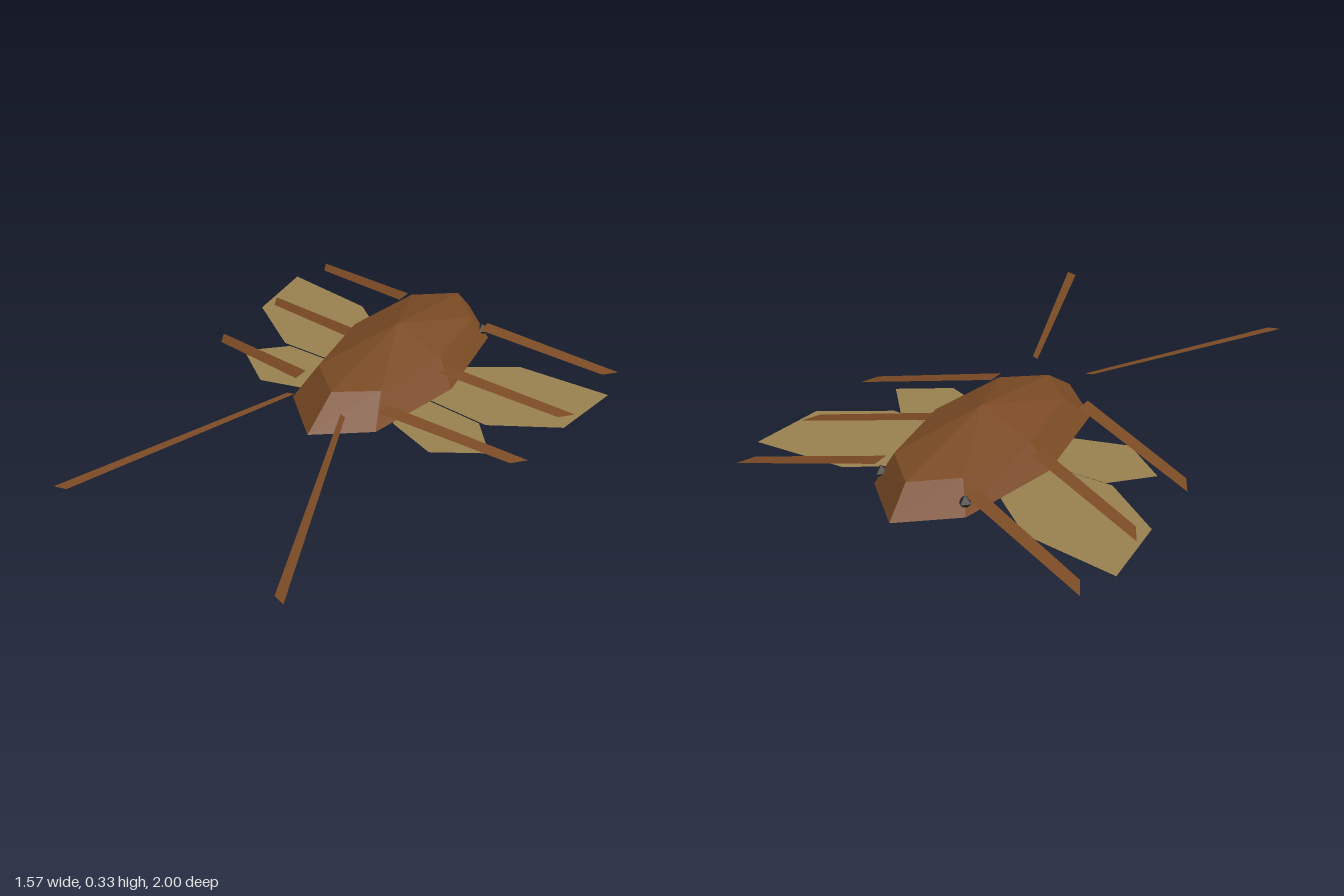
import * as THREE from 'three';

const mat = (name, color, extra = {}) => {
  const m = new THREE.MeshStandardMaterial({ color, side: THREE.DoubleSide, ...extra });
  m.name = name;
  return m;
};

// Flat plate from one corner loop of [x, y, z]
function plate(corners, material, name) {
  const g = new THREE.BufferGeometry();
  g.setAttribute('position', new THREE.Float32BufferAttribute(corners.flat(), 3));
  const faces = THREE.ShapeUtils.triangulateShape(
    corners.map(([x, , z]) => new THREE.Vector2(x, -z)), []);
  // wind every triangle to face up
  g.setIndex(faces.flatMap(([a, b, c]) => {
    const [A, B, C] = [corners[a], corners[b], corners[c]];
    const up = (B[2] - A[2]) * (C[0] - A[0]) - (B[0] - A[0]) * (C[2] - A[2]);
    return up > 0 ? [a, b, c] : [a, c, b];
  }));
  g.computeVertexNormals();
  const mesh = new THREE.Mesh(g, material);
  mesh.name = name;
  return mesh;
}

// Full eight-corner outline from the +x half, running front to back
const ring = (half, y) => [
  ...half.map(([x, z]) => [x, y, z]),
  ...half.slice(1, -1).reverse().map(([x, z]) => [-x, y, z]),
];

// Faceted dome, open underneath
function shell(material) {
  const base = ring([[0, 0.165], [0.2, -0.005], [0.28, -0.42], [0.2, -0.83], [0, -1]], 0.135);
  const top = ring([[0, 0.01], [0.15, -0.11], [0.21, -0.44], [0.15, -0.77], [0, -0.9]], 0.248);
  const apex = [0, 0.332, -0.44];
  const n = base.length, index = [];
  for (let i = 0; i < n; i++) {
    const j = (i + 1) % n;
    index.push(i, j, n + j, i, n + j, n + i, n + i, n + j, 2 * n);
  }
  const g = new THREE.BufferGeometry();
  g.setAttribute('position', new THREE.Float32BufferAttribute([...base, ...top, apex].flat(), 3));
  g.setIndex(index);
  g.computeVertexNormals();
  const mesh = new THREE.Mesh(g, material);
  mesh.name = 'shell';
  return mesh;
}

export function createModel() {
  const brown = mat('shell brown', 0x7a4a24, { flatShading: true });
  const tan = mat('wing tan', 0x98804f);
  const dark = mat('belly dark brown', 0x5c4b3a);
  const black = mat('eye charcoal', 0x2e2b2b, { flatShading: true });

  const model = new THREE.Group();
  model.name = 'insect';
  model.add(shell(brown));

  // Five-sided egg-shaped belly lying along z
  const profile = [[0, 0], [0.063, 0.26], [0.09, 0.45], [0.06, 0.58], [0, 0.64]]
    .map(([r, z]) => new THREE.Vector2(r, z));
  const bellyShape = new THREE.LatheGeometry(profile, 5, Math.PI / 2).rotateX(-Math.PI / 2);
  const belly = new THREE.Mesh(bellyShape, dark);
  belly.name = 'belly';
  belly.position.y = 0.09;
  model.add(belly);

  for (const [s, side] of [[1, 'left'], [-1, 'right']]) {
    const add = (corners, material, name) =>
      model.add(plate(corners.map(([x, y, z]) => [s * x, y, z]), material, side + name));

    // Three sloping legs
    for (let i = 0; i < 3; i++) {
      const z = -0.365 * i;
      add([[0.2, 0.212, z - 0.025], [0.2, 0.212, z - 0.09],
        [0.745, 0.105, z - 0.232], [0.705, 0.113, z - 0.167]], brown, 'Leg' + (i + 1));
    }

    // Antenna
    add([[0.11, 0.245, 0.1], [0.138, 0.245, 0.11],
      [0.527, 0.17, 0.995], [0.478, 0.17, 0.98]], brown, 'Antenna');

    // Horizontal wings
    add([[0.04, -0.5], [0.24, -0.65], [0.4, -0.765], [0.785, -0.8], [0.75, -0.5],
      [0.495, -0.335], [0.04, -0.355]].map(([x, z]) => [x, 0.1, z]), tan, 'LargeWing');
    add([[0.04, -0.352], [0.466, -0.332], [0.6, -0.19], [0.41, -0.06],
      [0.2, -0.13], [0.04, -0.25]].map(([x, z]) => [x, 0.098, z]), tan, 'SmallWing');

    // Eye
    const eye = new THREE.Mesh(new THREE.OctahedronGeometry(0.028), black);
    eye.name = side + 'Eye';
    eye.position.set(s * 0.182, 0.18, -0.807);
    model.add(eye);
  }
  return model;
}
